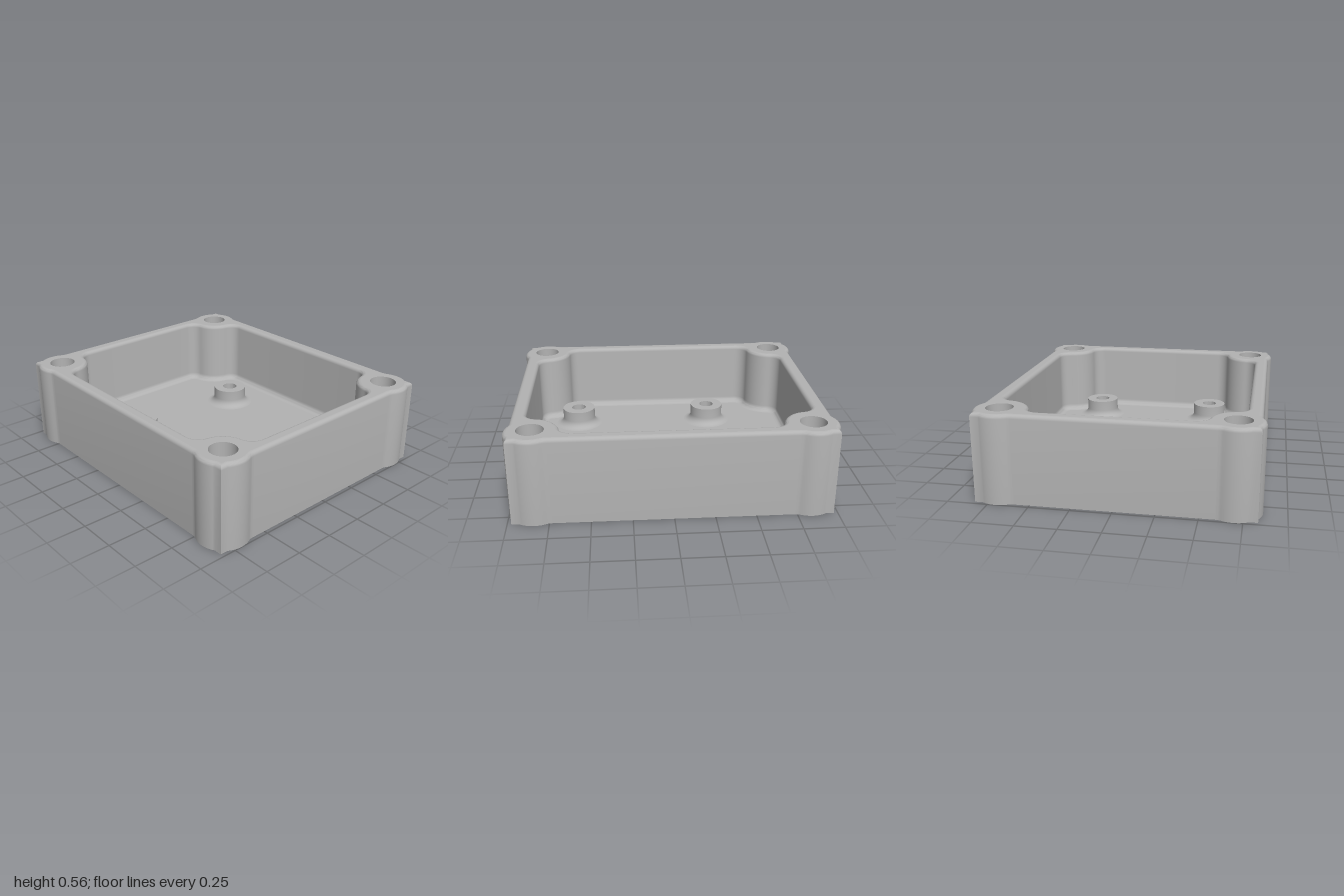
import * as THREE from 'three';
import { toCreasedNormals } from 'three/addons/utils/BufferGeometryUtils.js';

const H = 0.555, FLOOR = 0.1;          // rim height, floor height
const CX = 0.84, CZ = 0.70;            // screw hole centre in each corner
const RIM = 0.025, COVE = 0.04;        // rim rounding, floor fillet
const BORE = 0.083, HEAD = 0.145;      // screw hole and counterbore radii

function arc(u, v, r, a0, a1, n) {
  return Array.from({ length: n + 1 }, (_, i) => {
    const a = a0 + (a1 - a0) * i / n;
    return [u + r * Math.cos(a), v + r * Math.sin(a)];
  });
}

// Mirrors half of a corner (relative to the screw hole) into a full closed loop
function fullLoop(half, tip) {
  const swapped = half.map(([u, v]) => [v, u]).reverse();
  const corner = [...half, ...tip, ...swapped].map(([u, v]) => [CX + u, CZ + v]);
  const loop = [];
  for (const [sx, sz] of [[1, 1], [-1, 1], [-1, -1], [1, -1]]) {
    const part = corner.map(([x, z]) => new THREE.Vector2(x * sx, z * sz));
    loop.push(...(sx * sz > 0 ? part : part.reverse()));
  }
  return loop;
}

// Straight wall, fillet, round boss, then the square corner tip
function outerLoop() {
  const wall = 0.135, r = 0.16, f = 0.08;
  const v = -Math.sqrt((r + f) ** 2 - (wall + f) ** 2);
  const a = Math.atan2(v, wall + f), end = Math.acos(wall / r);
  return fullLoop([
    ...arc(wall + f, v, f, Math.PI, Math.PI + a, 5),
    ...arc(0, 0, r, a, end, 12).slice(1),
  ], [[wall, wall]]);
}

// Cavity wall, rounded corner, then the curve around the screw post
function cavityLoop() {
  const wall = 0.045, r = 0.17, g = 0.08;
  const u = wall - g, v = -Math.sqrt((r + g) ** 2 - u * u);
  const a = Math.atan2(-v, -u);
  return fullLoop([
    ...arc(u, v, g, 0, a, 10),
    ...arc(0, 0, r, a - Math.PI, -0.75 * Math.PI, 7).slice(1, -1),
  ], [[-r * Math.SQRT1_2, -r * Math.SQRT1_2]]);
}

// Grows (or shrinks) a loop by d with mitred corners
function offset(loop, d) {
  const n = loop.length;
  const normal = (p, q) => new THREE.Vector2(q.y - p.y, p.x - q.x).normalize();
  return loop.map((p, i) => {
    const n1 = normal(loop[(i + n - 1) % n], p), n2 = normal(p, loop[(i + 1) % n]);
    return p.clone().addScaledVector(n1.clone().add(n2), d / (1 + n1.dot(n2)));
  });
}

// Skin through copies of a loop, each ring given as [offset, y]
function loft(loop, rings) {
  const pos = [], index = [], n = loop.length;
  for (const [d, y] of rings) for (const p of offset(loop, d)) pos.push(p.x, y, p.y);
  for (let j = 0; j < rings.length - 1; j++) {
    for (let i = 0; i < n; i++) {
      const a = j * n + i, b = j * n + (i + 1) % n;
      index.push(a, a + n, b, b, a + n, b + n);
    }
  }
  const geo = new THREE.BufferGeometry();
  geo.setAttribute('position', new THREE.Float32BufferAttribute(pos, 3));
  geo.setIndex(index);
  return toCreasedNormals(geo, 0.6);
}

// Flat plate at height y with round holes at the corners
function plate(loop, y, holeRadius, innerLoop, down) {
  const shape = new THREE.Shape(loop);
  if (innerLoop) shape.holes.push(new THREE.Path(innerLoop));
  if (holeRadius) {
    for (const sx of [-1, 1]) for (const sz of [-1, 1]) {
      shape.holes.push(new THREE.Path(arc(sx * CX, sz * CZ, holeRadius, 0, 2 * Math.PI, 40)
        .slice(0, -1).map(([x, z]) => new THREE.Vector2(x, z))));
    }
  }
  return new THREE.ShapeGeometry(shape).rotateX(down ? Math.PI / 2 : -Math.PI / 2).translate(0, y, 0);
}

function lathe(points) {
  const geo = new THREE.LatheGeometry(points.map(([x, y]) => new THREE.Vector2(x, y)), 40);
  return toCreasedNormals(geo, 0.6);
}

export function createModel() {
  const group = new THREE.Group();
  const grey = new THREE.MeshStandardMaterial({ color: 0xb2b2b2 });
  grey.name = 'grey';
  const add = (name, geo, x = 0, z = 0) => {
    const mesh = new THREE.Mesh(geo, grey);
    mesh.name = name;
    mesh.position.set(x, 0, z);
    group.add(mesh);
  };

  const outer = outerLoop(), cavity = cavityLoop();
  const steps = [0, 1, 2, 3, 4, 5, 6].map(i => i * Math.PI / 12);

  // Outer wall with rounded top edge
  add('outerWall', loft(outer, [[0, 0],
    ...steps.map(t => [-RIM * (1 - Math.cos(t)), H - RIM * (1 - Math.sin(t))])]));

  // Cavity wall from the rounded rim down to the floor fillet
  add('cavityWall', loft(cavity, [
    ...steps.map(t => [RIM * (1 - Math.sin(t)), H - RIM * (1 - Math.cos(t))]),
    ...steps.map(t => [-COVE * (1 - Math.cos(t)), FLOOR + COVE * (1 - Math.sin(t))])]));

  add('rim', plate(offset(outer, -RIM), H, BORE, offset(cavity, RIM)));
  add('floor', plate(offset(cavity, -COVE), FLOOR));
  add('underside', plate(outer, 0, HEAD, null, true));

  // Counterbored screw holes through the corners
  const hole = lathe([[BORE, H], [BORE, 0.12], [HEAD, 0.12], [HEAD, 0]]);
  for (const x of [-CX, CX]) for (const z of [-CZ, CZ]) add('screwHole', hole, x, z);

  // Standoffs with a flared foot and a blind hole
  const standoff = lathe([
    ...steps.map(t => [0.165 - 0.05 * Math.sin(t), FLOOR + 0.05 * (1 - Math.cos(t))]),
    [0.115, 0.22], [0.05, 0.22], [0.05, FLOOR + 0.01], [0, FLOOR + 0.01]]);
  for (const x of [-0.335, 0.61]) for (const z of [-0.415, 0.415]) add('standoff', standoff, x, z);

  return group;
}
